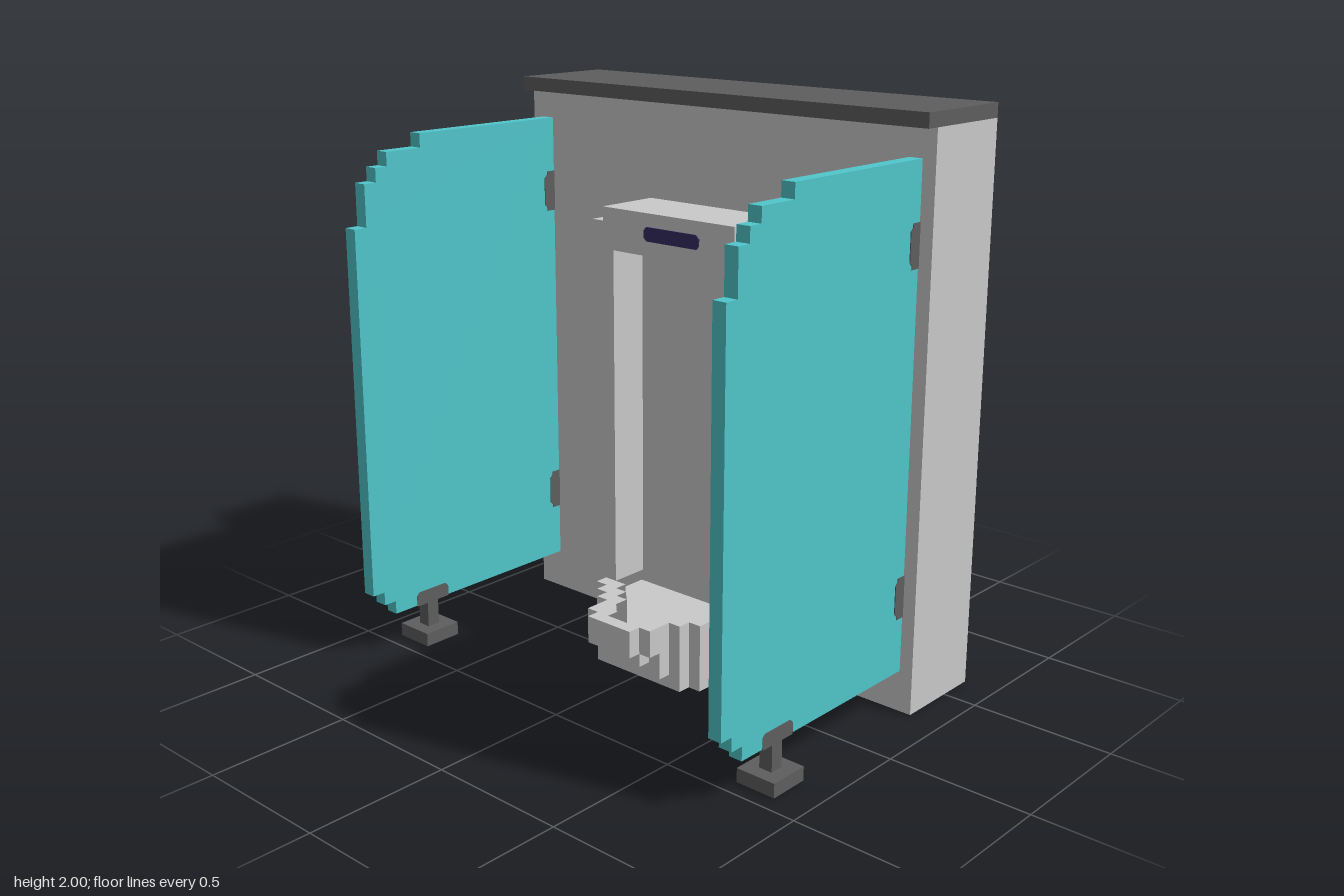
import * as THREE from 'three';

// one block of the stepped design
const U = 2 / 41;

const mats = {
  ceramic: ['lightGrey', 0xc9c9c9],
  dark: ['darkGrey', 0x5e5e5e],
  panel: ['turquoise', 0x50c6ca],
  sensor: ['deepPurple', 0x352c60],
};

export function createModel() {
  const root = new THREE.Group();
  root.name = 'urinalWithScreens';
  const M = {};
  for (const [key, [name, color]] of Object.entries(mats)) {
    M[key] = new THREE.MeshStandardMaterial({ color });
    M[key].name = name;
  }

  const add = (parent, name, geo, mat) => {
    const mesh = new THREE.Mesh(geo, mat);
    mesh.name = name;
    parent.add(mesh);
    return mesh;
  };
  // box from its limits in blocks
  const box = (parent, name, mat, x0, x1, y0, y1, z0, z1) => {
    const g = new THREE.BoxGeometry((x1 - x0) * U, (y1 - y0) * U, (z1 - z0) * U);
    g.translate((x0 + x1) / 2 * U, (y0 + y1) / 2 * U, (z0 + z1) / 2 * U);
    return add(parent, name, g, mat);
  };
  const vecs = (pts) => pts.map(([a, b]) => new THREE.Vector2(a * U, b * U));
  const extrude = (shape, depth) =>
    new THREE.ExtrudeGeometry(shape, { depth: depth * U, bevelEnabled: false });

  // horizontal layer from a half plan [x, z], mirrored in x, with an optional hole
  const plan = (half) => vecs([
    ...half.map(([x, z]) => [x, -z]),
    ...half.slice().reverse().map(([x, z]) => [-x, -z]),
  ]);
  const layer = (parent, name, y0, y1, half, hole) => {
    const shape = new THREE.Shape(plan(half));
    if (hole) shape.holes.push(new THREE.Path(plan(hole)));
    const g = extrude(shape, y1 - y0);
    g.rotateX(-Math.PI / 2).translate(0, y0 * U, 0);
    return add(parent, name, g, M.ceramic);
  };
  // upright plate from a side outline [z, y], running from x0 to x1
  const plate = (parent, name, mat, x0, x1, pts) => {
    const g = extrude(new THREE.Shape(vecs(pts.map(([z, y]) => [-z, y]))), x1 - x0);
    g.rotateY(Math.PI / 2).translate(x0 * U, 0, 0);
    return add(parent, name, g, mat);
  };

  // wall and its coping
  box(root, 'wall', M.ceramic, -18, 18, 0, 40, -13, -6);
  box(root, 'wallCap', M.dark, -18, 18, 40, 41, -13, -5);

  // urinal, stacked in layers
  const urinal = new THREE.Group();
  urinal.name = 'urinal';
  root.add(urinal);
  const base = [[7, -6], [7, -1], [6, -1], [6, 0], [5, 0], [5, 1], [4, 1], [4, 2]];
  const cavity = [[5, -4], [5, -1], [4, -1], [4, 0], [3, 0], [3, 1], [2, 1], [2, 2]];
  layer(urinal, 'bowlBase', 0, 1, base);
  layer(urinal, 'bowlFloor', 1, 2, [...base, [3, 2], [3, 3]], [[1, -1], [1, 0]]);
  layer(urinal, 'bowlMiddle', 2, 3, [...base, [3, 2], [3, 3], [2, 3], [2, 4]], cavity);
  layer(urinal, 'bowlRim', 3, 5, [...base, [3, 2], [3, 4], [2, 4], [2, 5]],
    [...cavity.slice(0, -1), [2, 3], [1, 3], [1, 4]]);
  layer(urinal, 'recessedBody', 5, 30, [[7, -6], [7, -1], [5, -1], [5, -4]]);
  layer(urinal, 'bodyHead', 30, 32, [[7, -6], [7, -1]]);
  layer(urinal, 'bodyTop', 32, 33, [[6, -6], [6, -1]]);

  // sensor window with clipped corners
  const c = 0.25;
  const win = extrude(new THREE.Shape(vecs([
    [-2 + c, 31], [3 - c, 31], [3, 31 + c], [3, 32 - c],
    [3 - c, 32], [-2 + c, 32], [-2, 32 - c], [-2, 31 + c],
  ])), 0.08);
  win.translate(-0.05 * U, 0.05 * U, -U);
  add(urinal, 'sensorWindow', win, M.sensor);

  // side screens with hinges and feet
  const outline = [
    [-6, 3], [11, 3], [11, 4], [12, 4], [12, 5], [13, 5], [13, 32], [12, 32],
    [12, 35], [11, 35], [11, 36], [10, 36], [10, 37], [7, 37], [7, 38], [-6, 38],
  ];
  const e = 0.06;
  for (const [side, x] of [['left', 16], ['right', -17]]) {
    const g = new THREE.Group();
    g.name = side + 'Screen';
    root.add(g);
    plate(g, 'screenPanel', M.panel, x, x + 1, outline);
    for (const y of [7, 31]) {
      plate(g, 'hinge', M.dark, x - e, x + 1 + e, [
        [-6, y], [-5 - c, y], [-5 - c, y + c], [-5, y + 2 * c], [-5, y + 3 - 2 * c],
        [-5 - c, y + 3 - c], [-5 - c, y + 3], [-6, y + 3],
      ]);
    }
    plate(g, 'footClamp', M.dark, x - e, x + 1 + e, [
      [6, 3 - e], [9, 3 - e], [9, 4 - c], [9 - c, 4], [6 + c, 4], [6, 4 - c],
    ]);
    box(g, 'footPost', M.dark, x, x + 1, 1, 3, 7, 8);
    box(g, 'footPlate', M.dark, x - 1, x + 2, 0, 1, 6, 9);
  }
  return root;
}
